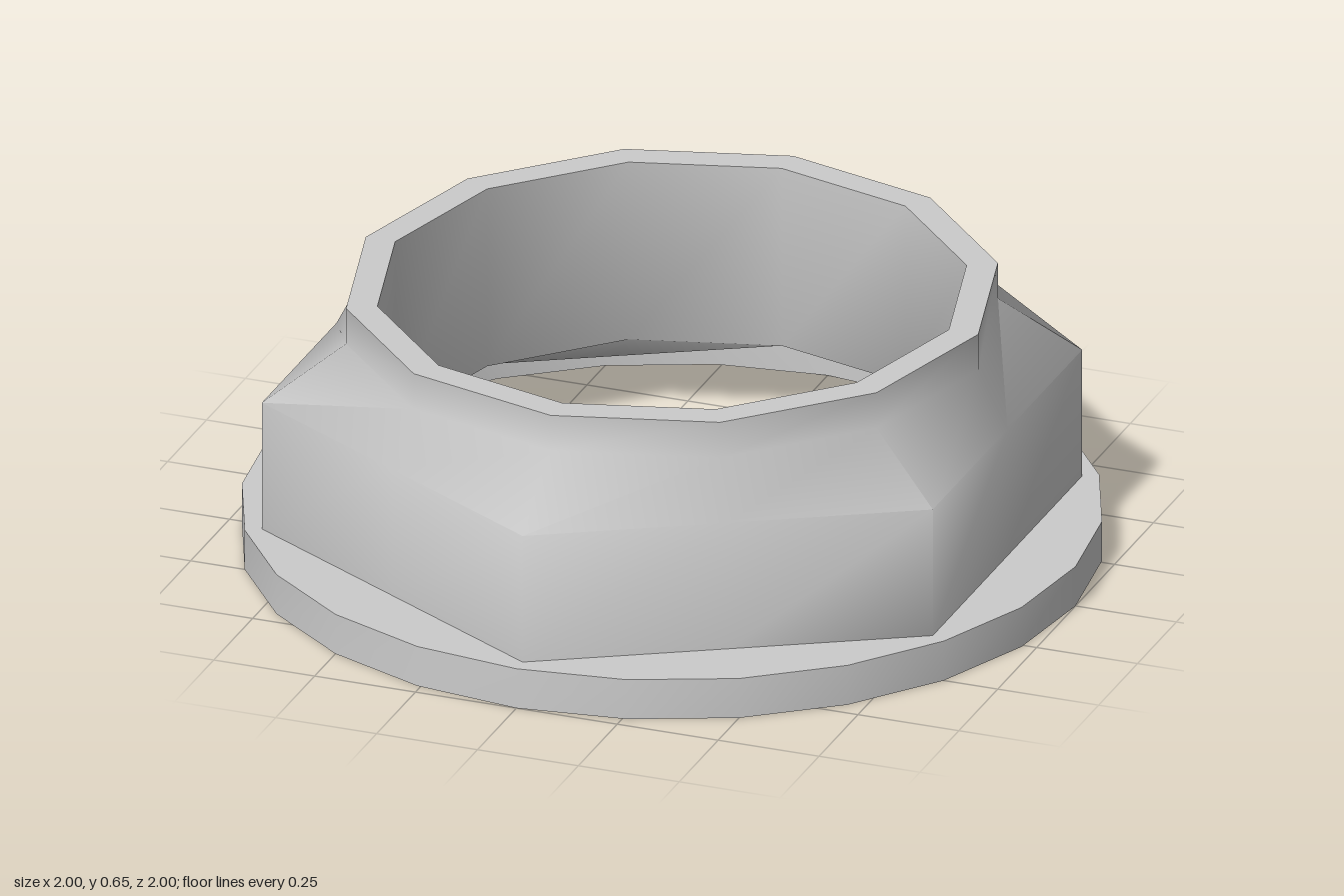
import * as THREE from 'three';
import { toCreasedNormals } from 'three/addons/utils/BufferGeometryUtils.js';

const material = new THREE.MeshStandardMaterial({ color: 0xcccccc, side: THREE.DoubleSide });

// Cross-section: regular polygon with a corner on +z, sampled at `count` angles.
function ring(sides, radius, y, count, xScale = 1) {
  const step = (2 * Math.PI) / sides;
  const points = [];
  for (let i = 0; i < count; i++) {
    const a = (i / count) * 2 * Math.PI;
    const local = (i % (count / sides)) * (2 * Math.PI / count) - step / 2;
    const r = (radius * Math.cos(step / 2)) / Math.cos(local);
    points.push([r * Math.sin(a) * xScale, y, r * Math.cos(a)]);
  }
  return points;
}

// Skin consecutive cross-sections; edges sharper than about 63 degrees stay hard.
function loft(name, rings) {
  const count = rings[0].length;
  const index = [];
  for (let k = 0; k < rings.length - 1; k++) {
    for (let i = 0; i < count; i++) {
      const j = (i + 1) % count;
      const a = k * count + i, b = k * count + j;
      index.push(a, b, b + count, a, b + count, a + count);
    }
  }
  const geometry = new THREE.BufferGeometry();
  geometry.setAttribute('position', new THREE.Float32BufferAttribute(rings.flat(2), 3));
  geometry.setIndex(index);
  const mesh = new THREE.Mesh(toCreasedNormals(geometry, 1.1), material);
  mesh.name = name;
  return mesh;
}

export function createModel() {
  const group = new THREE.Group();
  group.name = 'flangedHexCollar';

  const hex = (y, count) => ring(6, 0.96, y, count);
  const collar = (radius, y) => ring(12, radius, y, 12, 0.973);

  // Open-bottomed round flange, its top sheet reaching in to the hexagon
  group.add(loft('flange', [ring(24, 1, 0, 24), ring(24, 1, 0.1, 24), hex(0.1, 24)]));

  // Hexagonal wall blending into the twelve-sided collar
  group.add(loft('hexBody', [hex(0.1, 12), hex(0.42, 12), collar(0.78, 0.56), collar(0.78, 0.65)]));

  // Flat rim, bore wall and the underside chamfer back out to the hexagon
  group.add(loft('boreLining', [collar(0.78, 0.65), collar(0.705, 0.65), collar(0.705, 0.2), hex(0.1, 12)]));

  return group;
}
